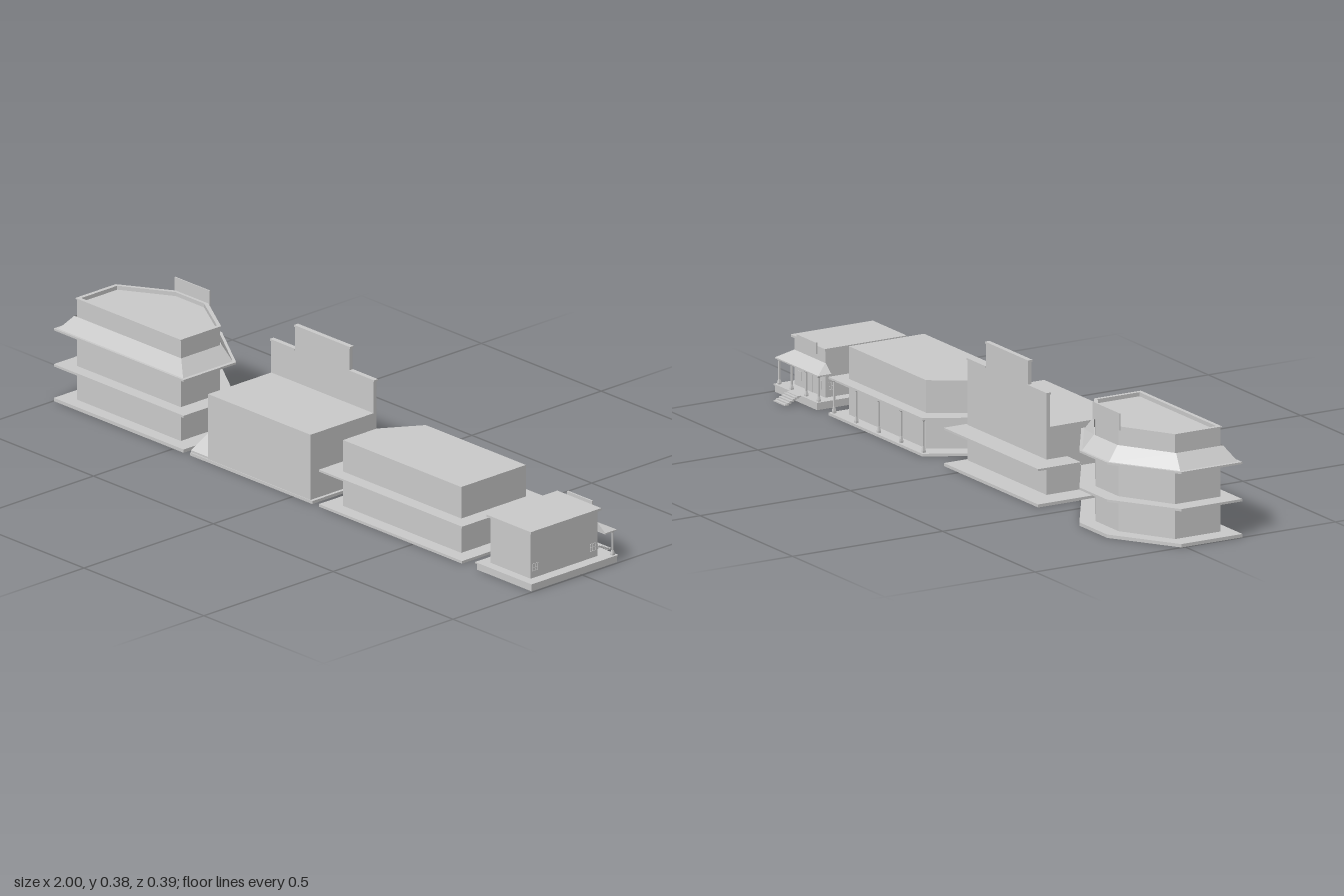
import * as THREE from 'three';

const mat = new THREE.MeshStandardMaterial({ color: 0xcccccc, flatShading: true, side: THREE.DoubleSide });

function add(group, name, geometry) {
  const mesh = new THREE.Mesh(geometry, mat);
  mesh.name = name;
  group.add(mesh);
  return mesh;
}

// axis-aligned box given by its limits
function box(group, name, x0, x1, y0, y1, z0, z1) {
  const m = add(group, name, new THREE.BoxGeometry(x1 - x0, y1 - y0, z1 - z0));
  m.position.set((x0 + x1) / 2, (y0 + y1) / 2, (z0 + z1) / 2);
  return m;
}

const toShape = (plan) => new THREE.Shape(plan.map(([x, z]) => new THREE.Vector2(x, -z)));

// upright prism over an [x, z] plan, with an optional hole
function prism(group, name, plan, y0, y1, hole) {
  const shape = toShape(plan);
  if (hole) shape.holes.push(toShape(hole));
  const g = new THREE.ExtrudeGeometry(shape, { depth: y1 - y0, bevelEnabled: false });
  g.rotateX(-Math.PI / 2).translate(0, y0, 0);
  return add(group, name, g);
}

// sloping band between two plans with equal corner counts (corners run counter-clockwise from above)
function slopeBand(group, name, low, y0, high, y1) {
  const pos = [];
  low.forEach((a, i) => {
    const j = (i + 1) % low.length;
    const A = [a[0], y0, a[1]], B = [low[j][0], y0, low[j][1]];
    const C = [high[j][0], y1, high[j][1]], D = [high[i][0], y1, high[i][1]];
    pos.push(...A, ...B, ...C, ...A, ...C, ...D);
  });
  const g = new THREE.BufferGeometry();
  g.setAttribute('position', new THREE.Float32BufferAttribute(pos, 3));
  g.computeVertexNormals();
  return add(group, name, g);
}

// slim post with a flared foot and a cap
function post(group, x, z, y0, y1) {
  const h = y1 - y0;
  const points = [[0.0065, 0], [0.0065, 0.06], [0.0035, 0.2], [0.0035, 0.93], [0.0055, 0.95], [0.0055, 1]];
  const g = new THREE.LatheGeometry(points.map(([r, t]) => new THREE.Vector2(r, t * h)), 4, Math.PI / 4);
  add(group, 'post', g).position.set(x, y0, z);
}

// plan with two cut back corners: half widths, front, cut start and back
const bayPlan = (cx, w, b, front, cut, back) =>
  [[cx - w, front], [cx + w, front], [cx + w, cut], [cx + b, back], [cx - b, back], [cx - w, cut]];

function cornerHall() {
  const g = new THREE.Group();
  g.name = 'threeStoreyHall';
  const cx = -0.728;
  const slab = bayPlan(cx, 0.271, 0.075, 0.191, -0.012, -0.139);
  const wall = bayPlan(cx, 0.217, 0.062, 0.152, 0, -0.093);
  prism(g, 'base', slab, 0, 0.01);
  prism(g, 'walls', wall, 0.01, 0.308);
  prism(g, 'balcony', slab, 0.106, 0.113);
  prism(g, 'eave', slab, 0.216, 0.222);
  slopeBand(g, 'flaredRoof', bayPlan(cx, 0.26, 0.072, 0.183, -0.009, -0.131), 0.222,
    bayPlan(cx, 0.223, 0.064, 0.156, 0, -0.097), 0.265);
  // parapet around the sunken roof
  const inner = bayPlan(cx, 0.208, 0.059, 0.143, 0.004, -0.084);
  prism(g, 'parapet', wall, 0.3, 0.318, inner);
  prism(g, 'parapetCap', bayPlan(cx, 0.22, 0.063, 0.155, -0.001, -0.096), 0.317, 0.32, inner);
  box(g, 'signBoard', cx - 0.073, cx + 0.073, 0.31, 0.36, -0.096, -0.093);
  return g;
}

function falseFrontHouse() {
  const g = new THREE.Group();
  g.name = 'falseFrontBuilding';
  const x0 = -0.357, x1 = 0.07;
  box(g, 'base', -0.43, 0.08, 0, 0.009, -0.139, 0.191);
  box(g, 'walls', x0, x1, 0.009, 0.208, -0.056, 0.189);
  // balcony wraps the corner and meets the ramp
  prism(g, 'balcony', [[-0.43, 0.003], [x0, 0.003], [x0, -0.06], [0.08, -0.06], [0.08, -0.139], [-0.43, -0.139]], 0.107, 0.113);
  // ramp up the side, its section running along z
  const ramp = new THREE.ExtrudeGeometry(
    new THREE.Shape([[0.187, 0.009], [0.187, 0.015], [0.003, 0.113], [0.003, 0.104]].map(([z, y]) => new THREE.Vector2(-z, y))),
    { depth: x0 + 0.43, bevelEnabled: false });
  ramp.rotateY(Math.PI / 2).translate(-0.43, 0, 0);
  add(g, 'ramp', ramp);
  // stepped false front with cap strips
  const front = [[x0, 0.009], [x1, 0.009], [x1, 0.304], [-0.03, 0.304], [-0.03, 0.38], [-0.257, 0.38], [-0.257, 0.304], [x0, 0.304]];
  const facade = new THREE.ExtrudeGeometry(new THREE.Shape(front.map(([x, y]) => new THREE.Vector2(x, y))),
    { depth: 0.011, bevelEnabled: false });
  facade.translate(0, 0, -0.066);
  add(g, 'falseFront', facade);
  for (const [a, b, y] of [[x0 - 0.004, -0.257, 0.304], [-0.26, -0.027, 0.376], [-0.03, x1 + 0.004, 0.304]])
    box(g, 'cap', a, b, y, y + 0.006, -0.068, -0.053);
  return g;
}

function arcade() {
  const g = new THREE.Group();
  g.name = 'arcadeBuilding';
  const slab = [[0.107, 0.191], [0.705, 0.191], [0.705, -0.139], [0.197, -0.139], [0.107, 0.022]];
  const wall = [[0.164, 0.15], [0.657, 0.15], [0.657, -0.1], [0.239, -0.1], [0.164, 0.02]];
  prism(g, 'base', slab, 0, 0.008);
  prism(g, 'walls', wall, 0.008, 0.209);
  prism(g, 'balcony', slab, 0.107, 0.113);
  for (let i = 0; i < 5; i++) post(g, 0.208 + i * 0.121, -0.128, 0.008, 0.107);
  post(g, 0.122, 0.025, 0.008, 0.107);
  return g;
}

function smallHouse() {
  const g = new THREE.Group();
  g.name = 'porchHouse';
  const cx = 0.88;
  box(g, 'base', cx - 0.114, cx + 0.114, 0, 0.019, -0.139, 0.191);
  box(g, 'deck', cx - 0.118, cx + 0.118, 0.019, 0.023, -0.141, 0.194);
  box(g, 'walls', cx - 0.084, cx + 0.084, 0.023, 0.162, -0.093, 0.166);
  box(g, 'roof', cx - 0.092, cx + 0.092, 0.162, 0.169, -0.1, 0.173);
  box(g, 'signBoard', cx - 0.052, cx + 0.052, 0.145, 0.179, -0.105, -0.1);
  // hipped porch roof
  const edge = [[cx - 0.116, -0.093], [cx + 0.116, -0.093], [cx + 0.116, -0.137], [cx - 0.116, -0.137]];
  const ridge = [[cx - 0.084, -0.092], [cx + 0.084, -0.092], [cx + 0.084, -0.093], [cx - 0.084, -0.093]];
  slopeBand(g, 'porchRoof', edge, 0.101, ridge, 0.125);
  prism(g, 'porchEave', edge, 0.097, 0.101);
  for (const s of [-1, 1]) {
    post(g, cx + s * 0.107, -0.129, 0.023, 0.098);
    post(g, cx + s * 0.04, -0.129, 0.023, 0.098);
    box(g, 'porchWindow', cx + s * 0.054 - 0.011, cx + s * 0.054 + 0.011, 0.042, 0.068, -0.0945, -0.093);
    // side windows: frame bars and a cross
    const x = cx + s * 0.085;
    for (const z of [0.148, -0.073]) {
      for (const d of [-0.0095, 0, 0.0095]) {
        box(g, 'windowBar', x - 0.001, x + 0.001, 0.043, 0.066, z + d - 0.0007, z + d + 0.0007);
        box(g, 'windowBar', x - 0.001, x + 0.001, 0.0538 + d * 1.15, 0.0552 + d * 1.15, z - 0.01, z + 0.01);
      }
    }
  }
  box(g, 'door', cx - 0.017, cx + 0.017, 0.023, 0.078, -0.0945, -0.093);
  // porch steps
  for (let i = 0; i < 5; i++)
    box(g, 'step', cx - 0.03, cx + 0.03, 0.0165 - i * 0.0041, 0.0205 - i * 0.0041, -0.161 - i * 0.0085, -0.1475 - i * 0.0085);
  box(g, 'step', cx - 0.03, cx + 0.03, 0.019, 0.023, -0.152, -0.139);
  return g;
}

export function createModel() {
  const model = new THREE.Group();
  model.name = 'townStreet';
  model.add(cornerHall(), falseFrontHouse(), arcade(), smallHouse());
  return model;
}
